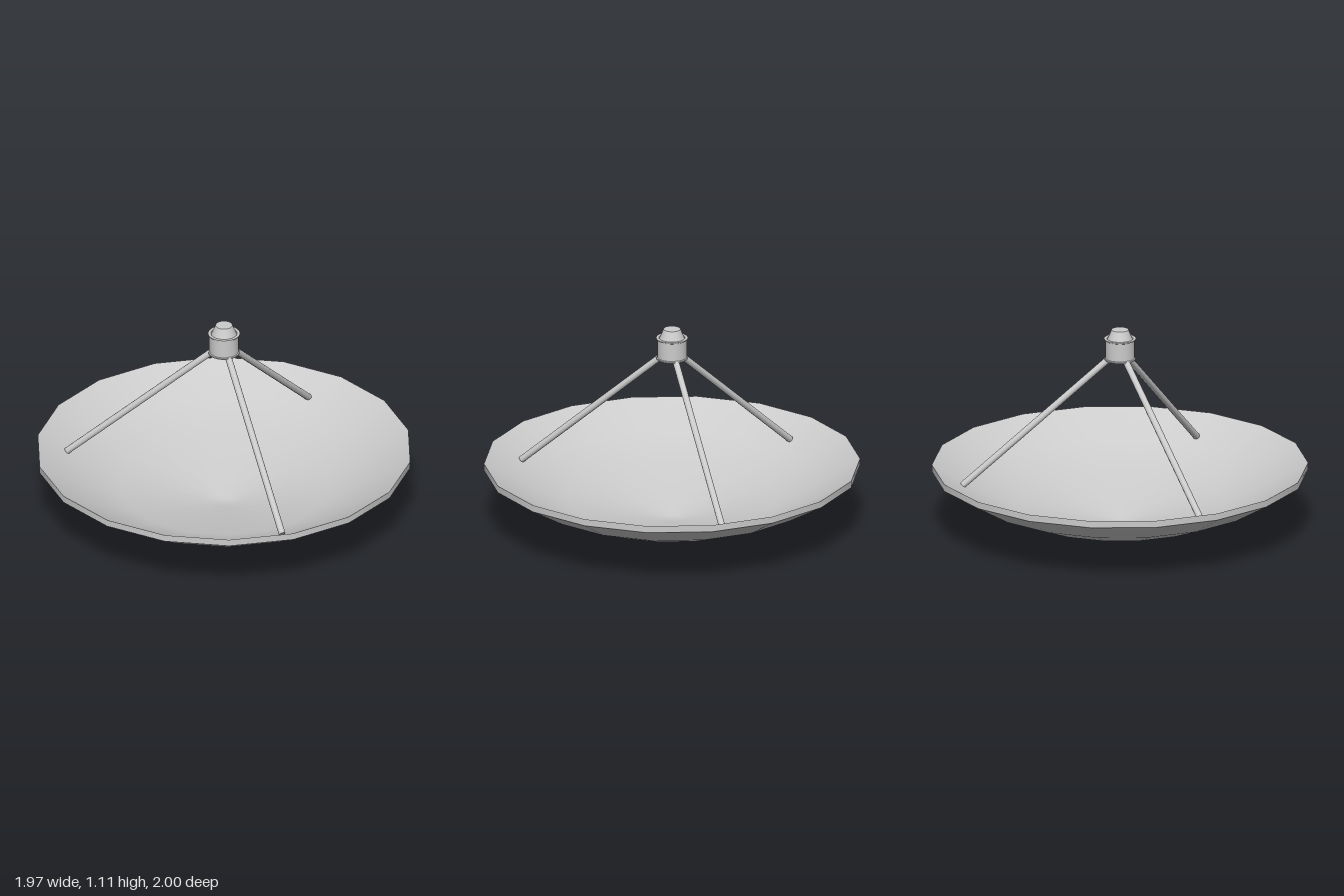
import * as THREE from 'three';
import { toCreasedNormals } from 'three/addons/utils/BufferGeometryUtils.js';

const material = new THREE.MeshStandardMaterial({ color: 0xcccccc });

function addMesh(group, name, geometry) {
  const mesh = new THREE.Mesh(geometry, material);
  mesh.name = name;
  group.add(mesh);
  return mesh;
}

// Revolves a list of [radius, height] pairs around the y axis
function revolve(profile, segments) {
  return new THREE.LatheGeometry(profile.map(([r, y]) => new THREE.Vector2(r, y)), segments);
}

export function createModel() {
  const model = new THREE.Group();
  model.name = 'dishAntenna';

  // Shallow 18-sided reflector: foot, underside, rim band and inner bowl
  const dish = new THREE.Group();
  dish.name = 'dish';
  model.add(dish);
  const sides = 18;
  addMesh(dish, 'dishFoot', revolve([[0, 0], [0.05, 0]], sides));
  addMesh(dish, 'dishUnderside', revolve([[0.05, 0], [0.56, 0.108], [0.79, 0.2], [1, 0.323]], sides));
  addMesh(dish, 'dishRim', revolve([[1, 0.323], [1, 0.36]], sides));
  addMesh(dish, 'dishBowl', revolve([[1, 0.36], [0.79, 0.237], [0.56, 0.145], [0.05, 0.037], [0, 0.037]], sides));

  // Receiver above the dish: drum with thin lips, and a tapered cap
  const receiver = new THREE.Group();
  receiver.name = 'receiver';
  model.add(receiver);
  const drum = revolve([
    [0, 0.95], [0.077, 0.945], [0.084, 0.945], [0.084, 0.951], [0.079, 0.954],
    [0.079, 1.052], [0.085, 1.055], [0.085, 1.061], [0.07, 1.061], [0.065, 1.05], [0, 1.05],
  ], 24);
  addMesh(receiver, 'receiverDrum', toCreasedNormals(drum, 0.5));
  const cap = addMesh(receiver, 'receiverCap', new THREE.CylinderGeometry(0.045, 0.07, 0.06, 24));
  cap.position.y = 1.08;

  // Three struts from the bowl up to the receiver
  const up = new THREE.Vector3(0, 1, 0);
  const top = new THREE.Vector3();
  const feet = [['frontStrut', 0, 0.84], ['leftStrut', 0.68, -0.5], ['rightStrut', -0.73, -0.425]];
  for (const [name, x, z] of feet) {
    const foot = new THREE.Vector3(x, 0.275, z);
    top.set(x, 0, z).setLength(0.045).setY(0.962);
    const along = top.clone().sub(foot);
    const strut = addMesh(model, name, new THREE.CylinderGeometry(0.018, 0.018, along.length(), 10));
    strut.position.copy(foot).addScaledVector(along, 0.5);
    strut.quaternion.setFromUnitVectors(up, along.normalize());
  }

  return model;
}
